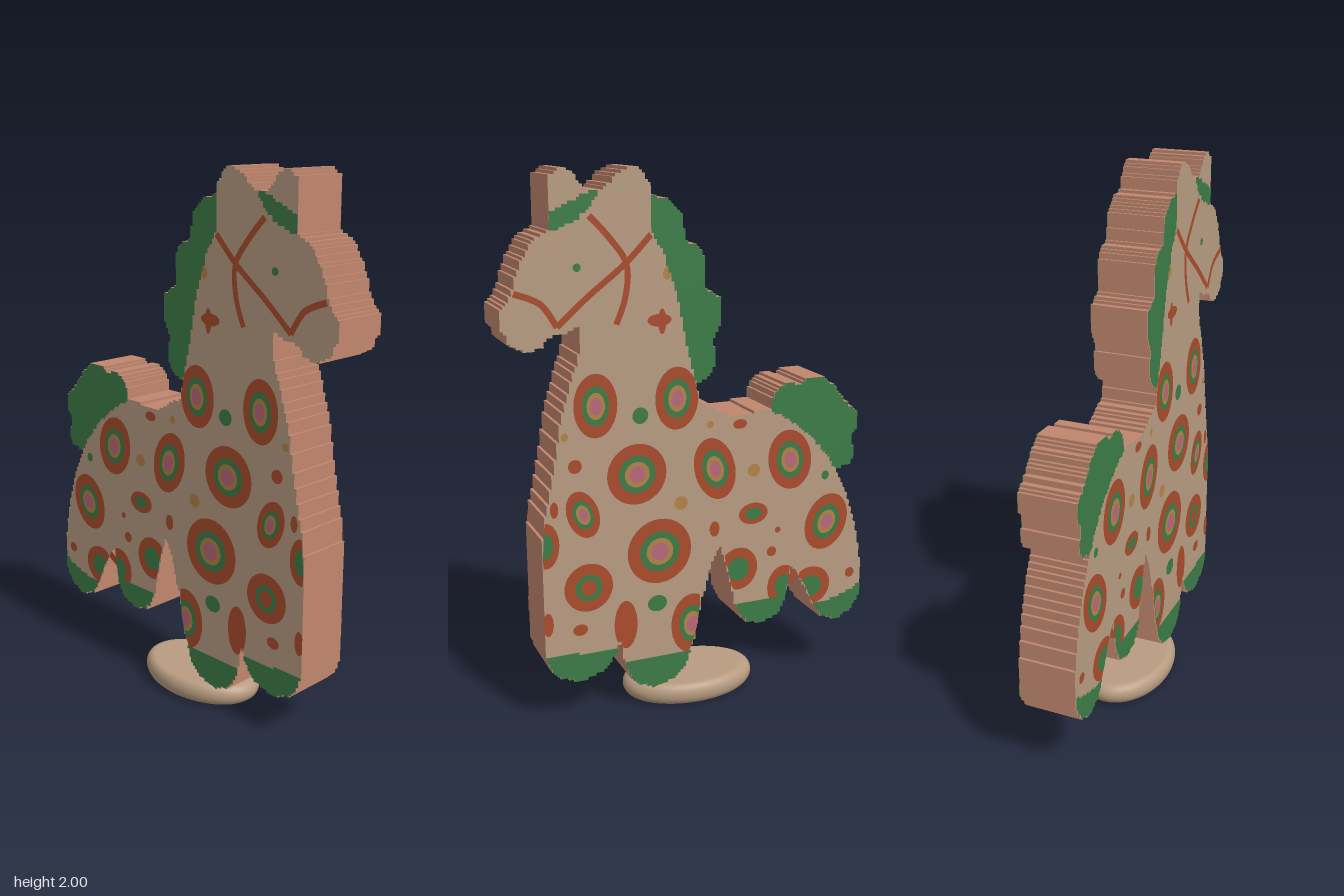
import * as THREE from 'three';

const mat = (name, color, side = THREE.DoubleSide) => {
  const m = new THREE.MeshStandardMaterial({ color, side });
  m.name = name;
  return m;
};

const HALF = 0.107; // half thickness of the body
const CELL = 0.0105; // size of the outline steps

// Outline pieces, clockwise from the first ear
const head = [[.17, 1.94], [.195, 1.985], [.24, 2], [.29, 1.975], [.34, 1.92], [.39, 1.92], [.44, 1.98],
  [.49, 2], [.52, 1.97], [.53, 1.8], [.59, 1.76], [.64, 1.67], [.665, 1.59], [.705, 1.53], [.705, 1.49],
  [.67, 1.42], [.61, 1.395], [.565, 1.41], [.53, 1.45], [.475, 1.455], [.43, 1.475]];
const chest = [[.43, 1.395], [.465, 1.29], [.5, 1.18], [.53, 1.02], [.555, .89], [.58, .775], [.59, .6], [.59, .36]];
const hooves = [
  [[.585, .27], [.575, .24], [.54, .19], [.46, .155], [.37, .185], [.325, .235], [.312, .265]],
  [[.285, .195], [.275, .165], [.24, .105], [.16, .075], [.075, .105], [.035, .165], [.025, .195]],
  [[-.165, .36], [-.185, .31], [-.23, .27], [-.29, .265], [-.35, .295], [-.38, .355]],
  [[-.5, .305], [-.54, .25], [-.61, .22], [-.675, .255], [-.712, .31], [-.712, .365], [-.66, .335], [-.58, .31]],
];
const gaps = [
  [[.305, .31]],
  [[.005, .255], [-.02, .385], [-.065, .545], [-.1, .61], [-.13, .505]],
  [[-.4, .485], [-.465, .385]],
  [[-.71, .465], [-.685, .6], [-.635, .75]],
];
const tailEdge = [[-.585, .85], [-.65, .865], [-.665, .92], [-.645, .97], [-.675, 1.015], [-.675, 1.065],
  [-.62, 1.115], [-.57, 1.18], [-.515, 1.22], [-.455, 1.22], [-.42, 1.2], [-.36, 1.21], [-.32, 1.18], [-.3, 1.14], [-.3, 1.11]];
const back = [[-.13, 1.105], [-.07, 1.14], [-.015, 1.17]];
const maneEdge = [[0, 1.24], [-.05, 1.26], [-.075, 1.315], [-.065, 1.395], [-.09, 1.45], [-.09, 1.54],
  [-.035, 1.58], [-.035, 1.675], [-.01, 1.725], [.045, 1.745], [.05, 1.83], [.105, 1.89], [.165, 1.9]];

// The last hoof ends with two points of its painted top, which are not on the silhouette
const legs = hooves.flatMap((h, i) => [...(i === 3 ? h.slice(0, 6) : h), ...gaps[i]]);
const outline = [...head, ...chest, ...legs, ...tailEdge, ...back, ...maneEdge];

// Turns a closed polygon into one with small square steps
function stepped(points) {
  const snap = (v) => Math.round(v / CELL) * CELL;
  const out = [];
  const add = (x, y) => {
    const p = out[out.length - 1];
    if (!p || Math.hypot(p.x - x, p.y - y) > 1e-5) out.push(new THREE.Vector2(x, y));
  };
  points.forEach((a, i) => {
    const b = points[(i + 1) % points.length];
    const n = Math.max(1, Math.ceil(Math.hypot(b[0] - a[0], b[1] - a[1]) / CELL));
    for (let k = 0; k < n; k++) {
      const x = snap(a[0] + (b[0] - a[0]) * k / n), y = snap(a[1] + (b[1] - a[1]) * k / n);
      const p = out[out.length - 1];
      if (p) y > p.y ? add(x, p.y) : add(p.x, y);
      add(x, y);
    }
  });
  return new THREE.Shape(out);
}

function inside(x, y) {
  let hit = false;
  outline.forEach(([ax, ay], i) => {
    const [bx, by] = outline[(i + 1) % outline.length];
    if ((ay > y) !== (by > y) && x < ax + (bx - ax) * (y - ay) / (by - ay)) hit = !hit;
  });
  return hit;
}

// Ellipse that is cut off where it would leave the body
function spot(x, y, rx, ry, tilt = 0) {
  const pts = [];
  for (let i = 0; i < 32; i++) {
    const a = i / 32 * Math.PI * 2;
    const u = Math.cos(a) * rx, v = Math.sin(a) * ry;
    const dx = u * Math.cos(tilt) - v * Math.sin(tilt), dy = u * Math.sin(tilt) + v * Math.cos(tilt);
    let s = 1;
    while (s > 0.05 && !inside(x + dx * s, y + dy * s)) s -= 0.05;
    pts.push(new THREE.Vector2(x + dx * s, y + dy * s));
  }
  return new THREE.Shape(pts);
}

// Flat ribbon along a curve
function strap(points, width) {
  const curve = new THREE.SplineCurve(points.map(([x, y]) => new THREE.Vector2(x, y)));
  const l = [], r = [];
  for (let i = 0; i <= 20; i++) {
    const p = curve.getPoint(i / 20), t = curve.getTangent(i / 20);
    l.push(new THREE.Vector2(p.x - t.y * width / 2, p.y + t.x * width / 2));
    r.unshift(new THREE.Vector2(p.x + t.y * width / 2, p.y - t.x * width / 2));
  }
  return new THREE.Shape([...l, ...r]);
}

export function createModel() {
  const tan = mat('tan', 0xb89c81);
  const clay = mat('clay', 0xc0866d, THREE.FrontSide);
  const green = mat('green', 0x3c7c48);
  const rust = mat('rust', 0xaa4c2c);
  const ochre = mat('ochre', 0xb38447);
  const pink = mat('pink', 0xb8687c);

  const model = new THREE.Group();

  // Body slab: tan faces, clay rim
  const bodyGeo = new THREE.ExtrudeGeometry(stepped(outline), { depth: HALF * 2, bevelEnabled: false });
  bodyGeo.translate(0, 0, -HALF);
  const body = new THREE.Mesh(bodyGeo, [tan, clay]);
  body.name = 'body';
  model.add(body);

  // Paints a shape on both faces
  const paint = (name, shape, material, layer = 1) => {
    const g = new THREE.Group();
    g.name = name;
    const geo = new THREE.ShapeGeometry(shape);
    for (const s of [1, -1]) {
      const m = new THREE.Mesh(geo, material);
      m.position.z = s * (HALF + 0.0015 * layer);
      g.add(m);
    }
    model.add(g);
  };

  // Mane, tail, forelock and hooves
  paint('mane', stepped([...maneEdge, [.17, 1.79], [.12, 1.7], [.085, 1.6], [.06, 1.5], [.03, 1.35]]), green);
  paint('tail', stepped([...tailEdge, [-.385, 1.065], [-.465, 1], [-.53, .93]]), green);
  paint('forelock', stepped([[.355, 1.92], [.41, 1.915], [.46, 1.885], [.525, 1.86], [.53, 1.79], [.46, 1.815], [.39, 1.86]]), green);
  hooves.forEach((h) => paint('hoof', stepped(h), green, 2));

  // Bridle
  paint('cheekStrap', strap([[.17, 1.77], [.265, 1.675], [.4, 1.57], [.51, 1.475]], .022), rust, 2);
  paint('browStrap', strap([[.39, 1.84], [.32, 1.765], [.26, 1.675], [.265, 1.565], [.3, 1.47]], .022), rust, 3);
  paint('noseStrap', strap([[.655, 1.595], [.565, 1.555], [.51, 1.475]], .022), rust, 3);

  // Ringed spots: x, y, rx, ry, tilt
  const rings = [[rust, 1], [green, .62], [ochre, .42], [pink, .27]];
  [[.075, 1.19, .083, .115, 0], [.38, 1.19, .08, .115, 0], [-.385, .91, .09, .118, -.2], [-.075, .91, .08, .122, -.3],
    [.23, .925, .113, .113, 0], [.435, .8, .058, .092, -.35], [-.55, .64, .09, .115, .35], [.145, .62, .125, .125, 0],
    [.015, .31, .085, .12, 0]]
    .forEach(([x, y, rx, ry, t]) => rings.forEach(([m, k], i) => paint('ringedSpot', spot(x, y, rx * k, ry * k, t), m, i + 1)));

  // Two-coloured spots
  [[.42, .52, .092, .092], [-.49, .38, .085, .08], [-.37, .4, .07, .085], [-.175, .5, .08, .085],
    [.575, .7, .05, .085], [-.235, .715, .06, .042]]
    .forEach(([x, y, rx, ry]) => {
      paint('spot', spot(x, y, rx, ry), rust, 1);
      paint('spotCentre', spot(x, y, rx * .55, ry * .55), green, 2);
    });
  paint('spotHeart', spot(.42, .52, .03, .03), rust, 3);

  // Small dots
  const dots = [
    [rust, [[.28, .35, .045, .095], [-.075, .675, .02, .03], [-.315, .55, .02, .02], [.455, .36, .028, .022],
      [-.665, .41, .02, .02], [.46, .98, .025, .025], [.575, .4, .02, .045], [.54, .83, .015, .03],
      [-.175, 1.07, .028, .018], [-.34, .635, .012, .012], [.14, 1.475, .045, .022], [.13, 1.47, .015, .045]]],
    [green, [[.155, .415, .038, .032], [.215, 1.14, .03, .03], [.435, 1.67, .014, .014], [-.54, .83, .016, .018]]],
    [ochre, [[-.235, .885, .025, .025], [.06, .795, .026, .026], [-.055, 1.08, .014, .014], [.495, 1.09, .013, .015],
      [.11, 1.635, .016, .022]]],
  ];
  dots.forEach(([m, list]) => list.forEach(([x, y, rx, ry]) => paint('dot', spot(x, y, rx, ry), m, 1)));

  // Oval foot with a rounded rim
  const R = .2625, B = .041;
  const profile = [new THREE.Vector2(0, 0), new THREE.Vector2(R - B - .01, 0)];
  for (let i = 0; i <= 12; i++) {
    const a = -Math.PI / 2 + i / 12 * Math.PI;
    profile.push(new THREE.Vector2(R - B + Math.cos(a) * B, B + Math.sin(a) * B));
  }
  profile.push(new THREE.Vector2(R - B - .01, 2 * B), new THREE.Vector2(0, 2 * B));
  const foot = new THREE.Mesh(new THREE.LatheGeometry(profile, 64), tan);
  foot.name = 'foot';
  foot.position.x = -.01;
  foot.scale.z = .663;
  model.add(foot);

  return model;
}
